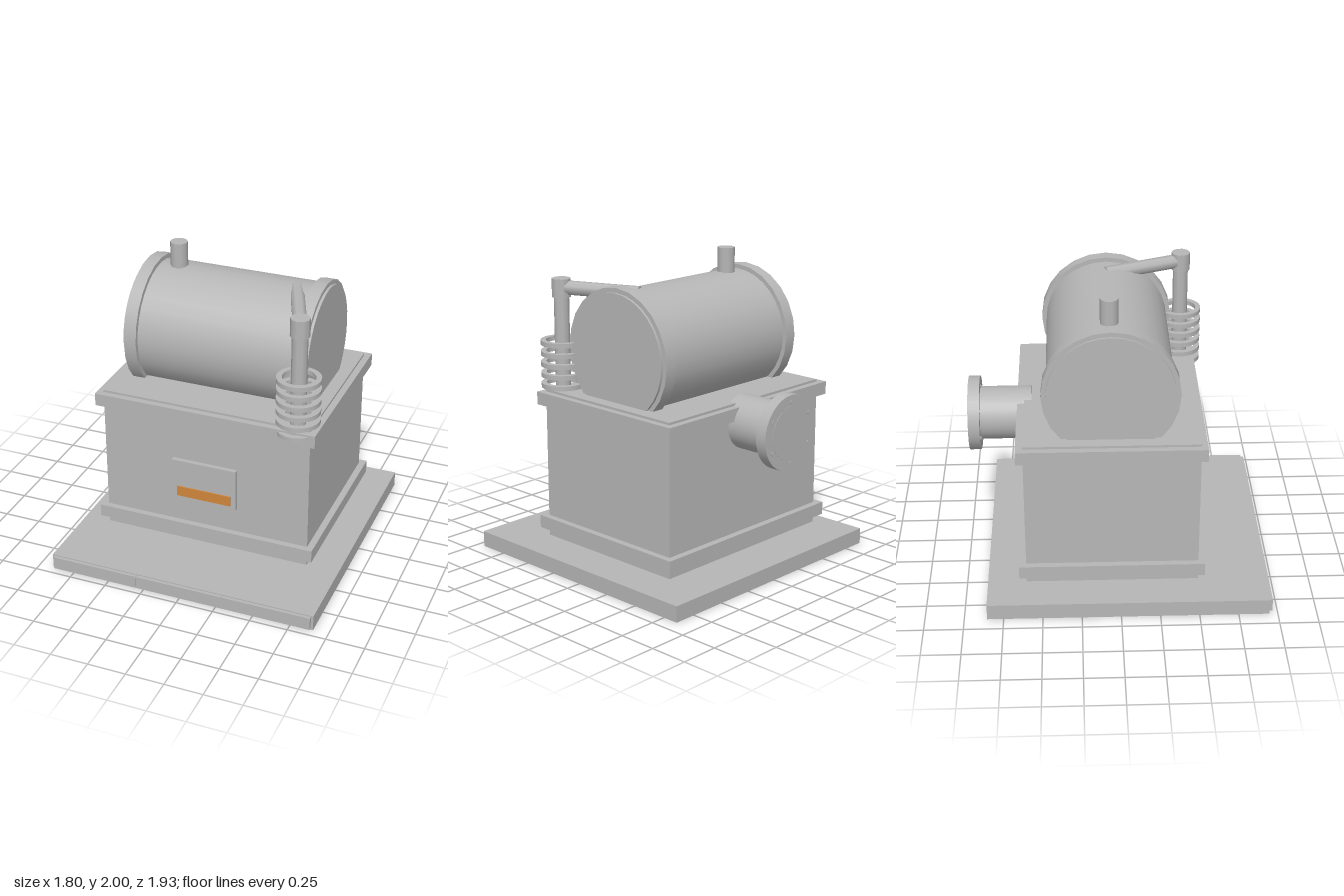
import * as THREE from 'three';
import { toCreasedNormals } from 'three/addons/utils/BufferGeometryUtils.js';

const metal = new THREE.MeshStandardMaterial({ color: 0xb6b6b6 });
metal.name = 'grey metal';
const glow = new THREE.MeshStandardMaterial({ color: 0xd0863a });
glow.name = 'orange glow';

export function createModel() {
  const model = new THREE.Group();
  model.name = 'boiler';

  function add(name, geometry, material = metal) {
    const mesh = new THREE.Mesh(geometry, material);
    mesh.name = name;
    model.add(mesh);
    return mesh;
  }

  // Box given by its minimum and maximum along each axis
  function box(name, [x0, x1], [y0, y1], [z0, z1], material) {
    const mesh = add(name, new THREE.BoxGeometry(x1 - x0, y1 - y0, z1 - z0), material);
    mesh.position.set((x0 + x1) / 2, (y0 + y1) / 2, (z0 + z1) / 2);
    return mesh;
  }

  // Cylinder between two points
  function rod(name, from, to, radius, sides) {
    const a = new THREE.Vector3(...from);
    const b = new THREE.Vector3(...to);
    const dir = b.clone().sub(a);
    const mesh = add(name, new THREE.CylinderGeometry(radius, radius, dir.length(), sides));
    mesh.position.copy(a).add(b).multiplyScalar(0.5);
    mesh.quaternion.setFromUnitVectors(new THREE.Vector3(0, 1, 0), dir.normalize());
    return mesh;
  }

  // Floor slab with three facing panels along its front edge
  box('baseSlab', [-0.9, 0.9], [0, 0.105], [-0.855, 0.945]);
  for (let i = -1; i <= 1; i++) {
    box('basePanel', [i * 0.59 - 0.294, i * 0.59 + 0.294], [0.012, 0.098], [0.94, 0.966]);
  }

  // Furnace body with two projecting bands
  box('furnaceBody', [-0.7, 0.7], [0.145, 1.145], [-0.603, 0.5]);
  for (const y of [0.2, 1.045]) {
    box('furnaceBand', [-0.743, 0.743], [y, y + 0.085], [-0.648, 0.54]);
  }

  // Fire door with its glowing slot
  box('fireDoor', [-0.22, 0.22], [0.46, 0.75], [0.49, 0.53]);
  box('fireSlot', [-0.185, 0.185], [0.49, 0.56], [0.53, 0.537], glow);

  // Drum lying across the top, with an end flange at each side
  const drumY = 1.44, drumZ = -0.055;
  rod('drum', [-0.62, drumY, drumZ], [0.617, drumY, drumZ], 0.4, 32);
  for (const x of [-0.605, 0.517]) {
    rod('drumFlange', [x, drumY, drumZ], [x + 0.083, drumY, drumZ], 0.43, 24);
  }
  rod('chimney', [-0.4, 1.78, -0.06], [-0.4, 2, -0.06], 0.057, 10);

  // Side pipe with elbow cap and arm back to the drum
  const px = 0.6, pz = 0.445;
  rod('sidePipe', [px, 1.1, pz], [px, 1.76, pz], 0.05, 10);
  rod('pipeCap', [px, 1.745, pz], [px, 1.865, pz], 0.062, 10);
  rod('pipeArm', [px, 1.807, pz], [0.4, 1.807, -0.06], 0.046, 8);

  // Stack of hollow cooling rings around the side pipe
  const ring = new THREE.Shape().absarc(0, 0, 0.14, 0, Math.PI * 2, false);
  ring.holes.push(new THREE.Path().absarc(0, 0, 0.105, 0, Math.PI * 2, true));
  const ringGeometry = toCreasedNormals(new THREE.ExtrudeGeometry(ring, {
    depth: 0.03, bevelEnabled: false, curveSegments: 20,
  }).rotateX(-Math.PI / 2), 0.6);
  for (let i = 0; i < 6; i++) {
    add('coolingRing', ringGeometry).position.set(px, 1.088 + i * 0.07, pz);
  }

  // Rear outlet with bolted flange
  const outletY = 1.005;
  rod('outletPipe', [0, outletY, -0.555], [0, outletY, -0.966], 0.173, 32);
  rod('outletFlange', [0, outletY, -0.89], [0, outletY, -0.964], 0.242, 32);
  for (let i = 0; i < 6; i++) {
    const angle = Math.PI / 2 + i * Math.PI / 3;
    const x = Math.cos(angle) * 0.195, y = outletY + Math.sin(angle) * 0.195;
    rod('flangeBolt', [x, y, -0.885], [x, y, -0.968], 0.014, 6);
  }

  return model;
}
